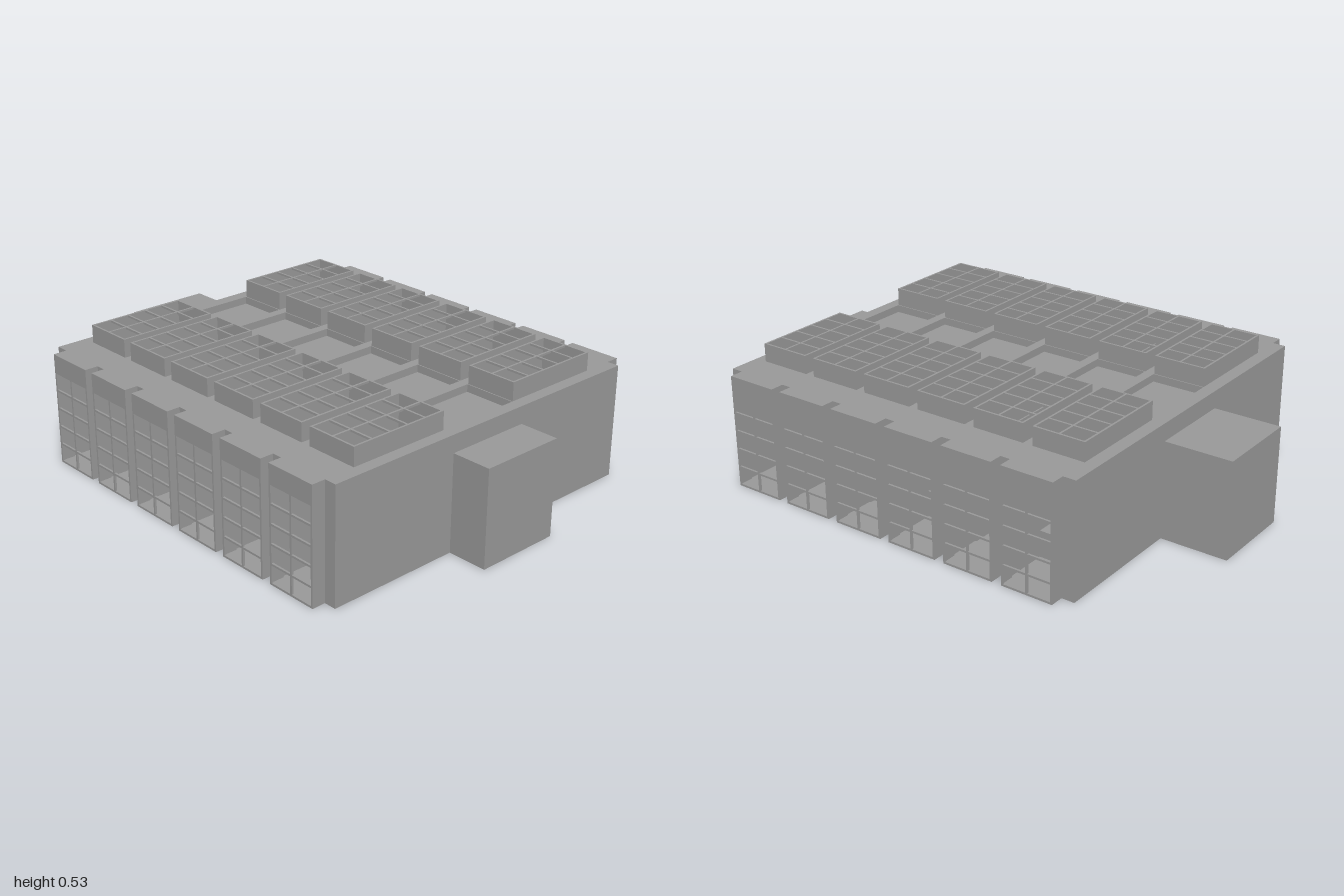
import * as THREE from 'three';

export function createModel() {
  const model = new THREE.Group();
  model.name = 'building';
  const grey = new THREE.MeshStandardMaterial({ color: 0x999999 });
  grey.name = 'concreteGrey';

  // Box given by its extents along each axis
  function box(name, x0, x1, y0, y1, z0, z1, parent = model) {
    const mesh = new THREE.Mesh(new THREE.BoxGeometry(x1 - x0, y1 - y0, z1 - z0), grey);
    mesh.position.set((x0 + x1) / 2, (y0 + y1) / 2, (z0 + z1) / 2);
    mesh.name = name;
    parent.add(mesh);
    return mesh;
  }
  // The same box on both sides of the hall
  function pair(name, x0, x1, y0, y1, z0, z1) {
    box(name + 'Left', x0, x1, y0, y1, z0, z1);
    box(name + 'Right', -x1, -x0, y0, y1, z0, z1);
  }
  // Horizontal slab with rectangular holes [x0, x1, z0, z1]
  function slab(name, x0, x1, y0, y1, z0, z1, holes) {
    const rect = (path, a, b, c, d) =>
      path.moveTo(a, -d).lineTo(b, -d).lineTo(b, -c).lineTo(a, -c).closePath();
    const shape = rect(new THREE.Shape(), x0, x1, z0, z1);
    for (const h of holes) shape.holes.push(rect(new THREE.Path(), ...h));
    const geo = new THREE.ExtrudeGeometry(shape, { depth: y1 - y0, bevelEnabled: false });
    geo.rotateX(-Math.PI / 2);
    const mesh = new THREE.Mesh(geo, grey);
    mesh.position.y = y0;
    mesh.name = name;
    model.add(mesh);
  }

  const WALL = 0.72, BAY = 0.775, ROOF = 0.455, CEIL = 0.385, TOP = 0.528;
  const BACK = -0.73, FRONT = 0.84, IN = 0.178, OUT = 0.595;
  const T = 0.006, BAR = 0.008;
  const bays = Array.from({ length: 6 }, (_, i) => {
    const c = -0.572 + i * 0.2515;
    return [c - 0.106, c + 0.106];
  });

  // Floor, with slots below the hollow partitions
  const slots = [], openings = [];
  for (const i of [1, 3]) {
    const z0 = bays[i][1], z1 = bays[i + 1][0];
    slots.push([IN, OUT, z0, z1], [-OUT, -IN, z0, z1]);
  }
  slab('floor', -WALL, WALL, 0, 0.008, BACK, FRONT, slots);

  // Roof, open under the skylights and over the hall panels
  for (const [z0, z1] of bays) {
    openings.push([IN, OUT, z0, z1], [-OUT, -IN, z0, z1]);
  }
  slab('roof', -WALL, WALL, CEIL, ROOF, BACK, FRONT, [
    ...openings,
    ...bays.map(([z0, z1]) => [-IN + 0.004, IN - 0.004, z0, z1]),
  ]);

  // End walls and entrance blocks
  box('frontWall', -WALL, WALL, 0, ROOF, bays[5][1], FRONT);
  box('backWall', -WALL, WALL, 0, ROOF, BACK, bays[0][0]);
  box('frontEntrance', -0.175, 0.175, 0, CEIL, FRONT, 1);
  box('backEntrance', -0.175, 0.175, 0, CEIL, -1, BACK);

  bays.forEach(([z0, z1], i) => {
    // Sunken roof panel of the hall
    box('hallRoofPanel', -IN, IN, CEIL, 0.425, z0, z1);

    // Projecting window bay
    pair('bayHeader', WALL, BAY, CEIL, ROOF, z0, z1);
    pair('bayFloor', WALL, BAY, 0, 0.008, z0, z1);
    pair('bayCheekBack', WALL, BAY, 0, CEIL, z0, z0 + T);
    pair('bayCheekFront', WALL, BAY, 0, CEIL, z1 - T, z1);

    // Window bars, two panes wide and five high
    for (let k = 0; k <= 2; k++) {
      const z = z0 + (z1 - z0 - BAR) * k / 2;
      pair('windowMullion', BAY - BAR, BAY, 0, CEIL, z, z + BAR);
    }
    for (let k = 0; k <= 5; k++) {
      const y = (CEIL - BAR) * k / 5;
      pair('windowTransom', BAY - BAR, BAY, y, y + BAR, z0, z1);
    }

    // Skylight curb
    pair('skylightBack', IN, OUT, ROOF, TOP, z0, z0 + T);
    pair('skylightFront', IN, OUT, ROOF, TOP, z1 - T, z1);
    pair('skylightInner', IN, IN + T, ROOF, TOP, z0, z1);
    pair('skylightOuter', OUT - T, OUT, ROOF, TOP, z0, z1);

    // Skylight bars, five panes by two
    for (let k = 0; k <= 5; k++) {
      const x = IN + (OUT - IN - BAR) * k / 5;
      pair('skylightBar', x, x + BAR, TOP - BAR, TOP, z0, z1);
    }
    for (let k = 0; k <= 2; k++) {
      const z = z0 + (z1 - z0 - BAR) * k / 2;
      pair('skylightCrossbar', IN, OUT, TOP - BAR, TOP, z, z + BAR);
    }

    // Pier and partition towards the next bay
    if (i === 5) return;
    const n = bays[i + 1][0];
    pair('pier', OUT, WALL, 0, CEIL, z1, n);
    if (i % 2) {
      // Hollow partition, open below
      pair('partitionBack', IN, OUT, 0, CEIL, z1 - T, z1);
      pair('partitionFront', IN, OUT, 0, CEIL, n, n + T);
      pair('partitionEnd', IN - T, IN, 0, CEIL, z1 - T, n + T);
    } else {
      // Solid partition with a low bench passing through it
      pair('partition', IN, OUT, 0, CEIL, z1, n);
      const c = (z1 + n) / 2;
      pair('bench', 0.225, 0.55, 0, 0.112, c - 0.077, c + 0.077);
    }
  });

  return model;
}
